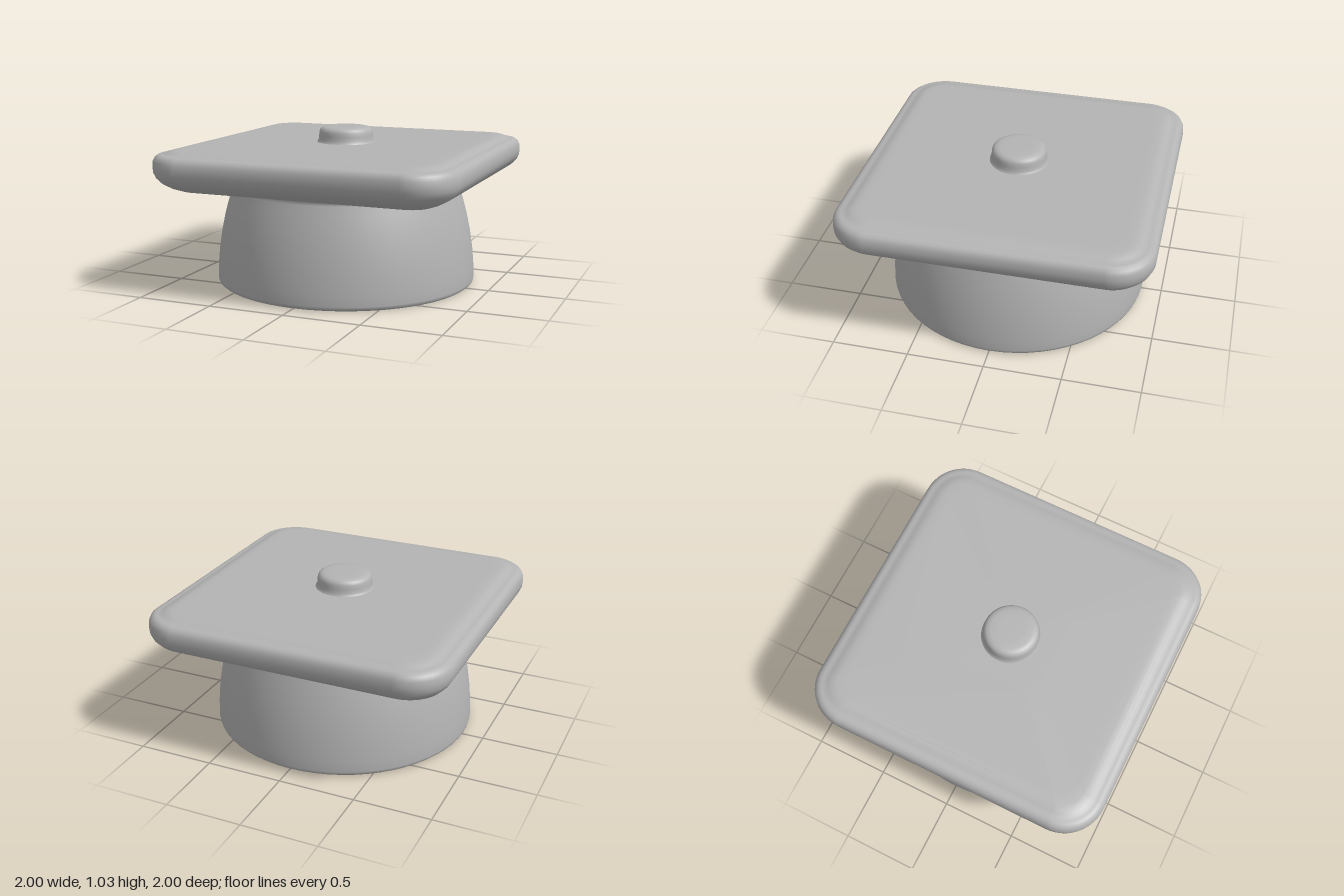
import * as THREE from 'three';

const grey = new THREE.MeshStandardMaterial({ color: 0xb4b4b4 });
grey.name = 'grey';

// Outline of a rounded square, listed counter-clockwise seen from above
function roundedSquare(half, radius, steps = 12) {
  const points = [];
  for (let corner = 0; corner < 4; corner++) {
    const start = corner * Math.PI / 2;
    const mid = start + Math.PI / 4;
    const cx = Math.sign(Math.cos(mid)) * (half - radius);
    const cz = Math.sign(Math.sin(mid)) * (half - radius);
    for (let i = 0; i <= steps; i++) {
      const a = start + (i / steps) * Math.PI / 2;
      points.push([cx + radius * Math.cos(a), -(cz + radius * Math.sin(a))]);
    }
  }
  return points;
}

// Skin of rounded-square rings, from the underside over the edge to the top
function boardGeometry(profile) {
  const positions = [], index = [];
  let n = 0;
  for (const [half, y] of profile) {
    const ring = roundedSquare(half, Math.max(0.27 - (1 - half), half * 0.15));
    n = ring.length;
    for (const [x, z] of ring) positions.push(x, y, z);
  }
  for (let r = 0; r < profile.length - 1; r++) {
    for (let i = 0; i < n; i++) {
      const j = (i + 1) % n;
      const a = r * n + i, b = r * n + j, c = a + n, d = b + n;
      index.push(a, b, d, a, d, c);
    }
  }
  // Close the underside and the top at their centres
  const last = profile.length - 1;
  const bottom = positions.length / 3;
  positions.push(0, profile[0][1], 0, 0, profile[last][1], 0);
  for (let i = 0; i < n; i++) {
    const j = (i + 1) % n;
    index.push(bottom, j, i, bottom + 1, last * n + i, last * n + j);
  }
  const geometry = new THREE.BufferGeometry();
  geometry.setAttribute('position', new THREE.Float32BufferAttribute(positions, 3));
  geometry.setIndex(index);
  geometry.computeVertexNormals();
  return geometry;
}

// Smooth turned part
function lathe(profile) {
  return new THREE.LatheGeometry(profile.map(([r, y]) => new THREE.Vector2(r, y)), 64);
}

export function createModel() {
  const group = new THREE.Group();
  group.name = 'graduationCap';
  const add = (name, geometry) => {
    const mesh = new THREE.Mesh(geometry, grey);
    mesh.name = name;
    group.add(mesh);
  };

  // Skull cap, wider at the rim, with a small flare under the board
  add('skullCap', lathe([
    [0, 0], [0.83, 0], [0.85, 0.002], [0.862, 0.012], [0.866, 0.03], [0.864, 0.1],
    [0.853, 0.22], [0.835, 0.34], [0.81, 0.46], [0.78, 0.57],
    [0.76, 0.63], [0.757, 0.65], [0.775, 0.67],
  ]));

  // Square board with a soft rounded edge and a shallow raised top panel
  add('board', boardGeometry([
    [0.7, 0.66], [0.78, 0.66], [0.83, 0.667], [0.89, 0.69], [0.945, 0.72], [0.98, 0.755],
    [0.997, 0.79], [1, 0.825], [0.997, 0.86], [0.985, 0.885], [0.965, 0.899],
    [0.945, 0.902], [0.925, 0.904], [0.905, 0.913], [0.88, 0.922], [0.85, 0.926], [0.8, 0.927],
    [0.3, 0.927],
  ]));

  // Button on top
  add('button', lathe([
    [0.2, 0.92], [0.19, 0.93], [0.183, 0.945], [0.18, 0.97], [0.178, 0.995],
    [0.17, 1.013], [0.155, 1.024], [0.13, 1.03], [0.08, 1.031], [0, 1.031],
  ]));

  return group;
}
